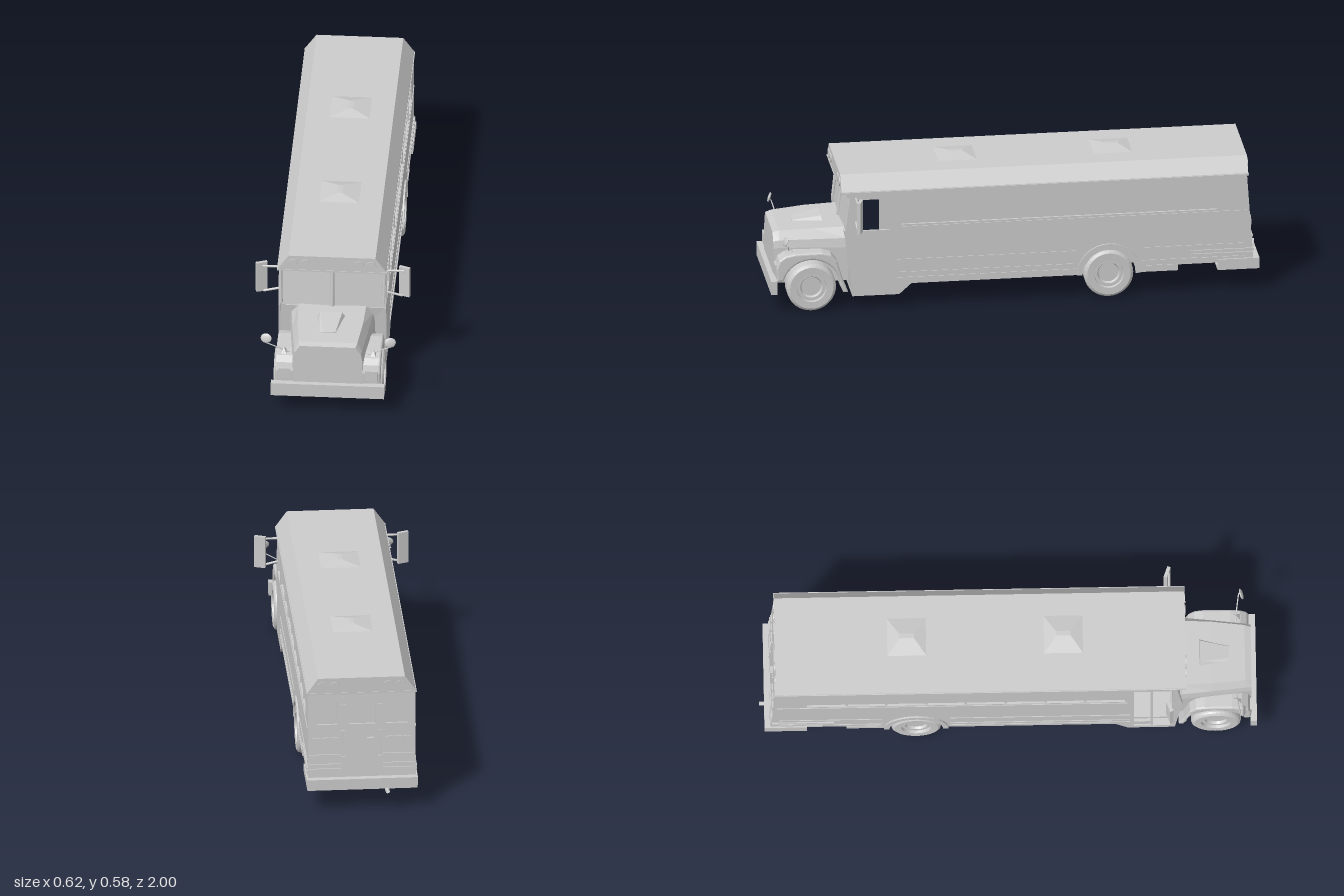
import * as THREE from 'three';

const mat = new THREE.MeshStandardMaterial({ color: 0xcccccc, side: THREE.DoubleSide });
const flat = new THREE.MeshStandardMaterial({ color: 0xcccccc, side: THREE.DoubleSide, flatShading: true });

function add(parent, name, geo, m = mat) {
  const mesh = new THREE.Mesh(geo, m);
  mesh.name = name;
  parent.add(mesh);
  return mesh;
}

// box given by its min and max on every axis
function box(parent, name, x0, x1, y0, y1, z0, z1) {
  const g = new THREE.BoxGeometry(Math.abs(x1 - x0), y1 - y0, z1 - z0);
  g.translate((x0 + x1) / 2, (y0 + y1) / 2, (z0 + z1) / 2);
  return add(parent, name, g);
}

// side outline of [z, y] points, extruded along x from x0 to x1
function sideGeo(pts, x0, x1, holes = [], bevel = 0) {
  const vec = (list) => list.map(([z, y]) => new THREE.Vector2(-z, y));
  const shape = new THREE.Shape(vec(pts));
  shape.holes = holes.map((h) => new THREE.Path(vec(h)));
  const g = new THREE.ExtrudeGeometry(shape, {
    depth: x1 - x0 - 2 * bevel, bevelEnabled: bevel > 0, bevelSize: bevel,
    bevelThickness: bevel, bevelOffset: -bevel, bevelSegments: 3,
  });
  return g.rotateY(Math.PI / 2).translate(x0 + bevel, 0, 0);
}

const rect = (a0, a1, b0, b1) => [[a0, b0], [a1, b0], [a1, b1], [a0, b1]];
const arc = (z, y, r, a0, a1, n = 16) => Array.from({ length: n + 1 }, (_, i) => {
  const a = a0 + (a1 - a0) * i / n;
  return [z + r * Math.cos(a), y + r * Math.sin(a)];
});

// skin over rows of points, with optional end caps
function loftGeo(rows, caps = false) {
  const v = [];
  const tri = (...p) => p.forEach((q) => v.push(...q));
  for (let i = 0; i + 1 < rows.length; i++) {
    for (let j = 0; j + 1 < rows[i].length; j++) {
      const a = rows[i][j], b = rows[i][j + 1], c = rows[i + 1][j + 1], d = rows[i + 1][j];
      tri(a, b, c, a, c, d);
    }
  }
  if (caps) {
    const first = rows[0], last = rows[rows.length - 1];
    for (let j = 1; j + 1 < first.length; j++) {
      tri(first[0], first[j + 1], first[j]);
      tri(last[0], last[j], last[j + 1]);
    }
  }
  const g = new THREE.BufferGeometry();
  g.setAttribute('position', new THREE.Float32BufferAttribute(v, 3));
  g.computeVertexNormals();
  return g;
}

function tube(parent, name, pts, r) {
  const path = new THREE.CurvePath();
  const p = pts.map((q) => new THREE.Vector3(...q));
  for (let i = 0; i + 1 < p.length; i++) path.add(new THREE.LineCurve3(p[i], p[i + 1]));
  add(parent, name, new THREE.TubeGeometry(path, 12, r, 8));
}

function wheel(parent, name, s, z) {
  const prof = [[0, 0.02], [0.04, 0.02], [0.045, 0.03], [0.058, 0.03], [0.06, 0.042], [0.088, 0.043],
    [0.097, 0.037], [0.1, 0.03], [0.1, -0.03], [0.097, -0.037], [0.088, -0.043], [0, -0.043]];
  const g = new THREE.LatheGeometry(prof.map(([r, y]) => new THREE.Vector2(r, y)).reverse(), 36);
  const m = add(parent, name, g.toNonIndexed());
  m.geometry.computeVertexNormals();
  m.rotation.z = -s * Math.PI / 2;
  m.position.set(s * 0.179, 0.1, z);
}

export function createModel() {
  const bus = new THREE.Group();
  bus.name = 'bus';

  // side walls with window band, wheel arch, and cab window or entry door
  const rearArch = arc(-0.37, 0.1, 0.112, 0, Math.PI);
  const outline = [[0.677, 0.5], [0.7, 0.32], [0.67, 0.055], [0.48, 0.055], [0.43, 0.1], ...rearArch,
    [-0.65, 0.1], [-0.65, 0.125], [-0.82, 0.125], [-0.955, 0.14], [-0.93, 0.5]];
  const band = rect(-0.81, 0.47, 0.355, 0.48);
  const cabWindow = rect(0.515, 0.645, 0.335, 0.468);
  const door = rect(0.505, 0.65, 0.075, 0.47);
  add(bus, 'leftWall', sideGeo(outline, 0.208, 0.217, [band, cabWindow]));
  add(bus, 'rightWall', sideGeo(outline, -0.217, -0.208, [band, door]));

  for (const s of [1, -1]) {
    const side = new THREE.Group();
    side.name = s > 0 ? 'leftSideTrim' : 'rightSideTrim';
    bus.add(side);
    box(side, 'windowGlass', s * 0.203, s * 0.208, 0.35, 0.485, -0.82, 0.48);
    for (let i = 1; i < 8; i++) {
      const z = -0.81 + 0.16 * i;
      box(side, 'windowDivider', s * 0.207, s * 0.214, 0.355, 0.48, z - 0.005, z + 0.005);
    }
    // rub rails
    for (const y of [0.122, 0.145, 0.2]) {
      for (const [a, b] of [[-0.92, -0.505], [-0.235, 0.49]]) {
        if (y < 0.13 && a < -0.6) box(side, 'rubRail', s * 0.216, s * 0.22, y, y + 0.006, -0.65, b);
        else box(side, 'rubRail', s * 0.216, s * 0.22, y, y + 0.006, a, b);
      }
    }
    for (const y of [0.16, 0.175]) box(side, 'rearCornerRail', s * 0.216, s * 0.222, y, y + 0.008, -0.95, -0.7);
    box(side, 'windowRail', s * 0.216, s * 0.22, 0.342, 0.347, -0.93, 0.48);
    // rear wheel arch flare and well
    const flare = [...arc(-0.37, 0.1, 0.13, 0, Math.PI), ...arc(-0.37, 0.1, 0.108, Math.PI, 0)];
    add(side, 'rearArchFlare', sideGeo(flare, s > 0 ? 0.212 : -0.224, s > 0 ? 0.224 : -0.212));
    box(side, 'wheelWell', s * 0.125, s * 0.21, 0.15, 0.22, -0.49, -0.25);
  }

  // floor, lowered cab base and rear underside
  box(bus, 'floor', -0.21, 0.21, 0.14, 0.155, -0.65, 0.67);
  add(bus, 'cabBase', sideGeo([[0.67, 0.055], [0.48, 0.055], [0.43, 0.1], [0.43, 0.14], [0.44, 0.14], [0.49, 0.07], [0.67, 0.07]], -0.21, 0.21));
  box(bus, 'rearUnderside', -0.21, 0.21, 0.125, 0.155, -0.945, -0.65);
  box(bus, 'entryStep', -0.21, -0.11, 0.07, 0.105, 0.5, 0.58);
  box(bus, 'stepWell', -0.115, -0.108, 0.07, 0.15, 0.49, 0.67);
  box(bus, 'doorPost', -0.215, -0.2, 0.075, 0.47, 0.572, 0.582);

  // front wall and angled windscreen
  const row = (y, z, bow) => [[-0.21, y, z], [0, y, z + bow], [0.21, y, z]];
  add(bus, 'frontWall', loftGeo([row(0.055, 0.668, 0), row(0.32, 0.695, 0.01)]), flat);
  add(bus, 'windscreen', loftGeo([row(0.32, 0.69, 0.01), row(0.48, 0.67, 0.01)]), flat);
  tube(bus, 'windscreenPost', [[0, 0.32, 0.7], [0, 0.49, 0.682]], 0.008);
  box(bus, 'windscreenHeader', -0.217, 0.217, 0.478, 0.5, 0.66, 0.69);
  for (const s of [1, -1]) tube(bus, 'cornerPost', [[s * 0.207, 0.33, 0.693], [s * 0.21, 0.48, 0.677]], 0.007);

  // roof with sloped sides, gutter and hatches
  const roof = new THREE.Shape([[-0.22, 0.498], [0.22, 0.498], [0.218, 0.505], [0.175, 0.566], [-0.175, 0.566], [-0.218, 0.505]]
    .map((p) => new THREE.Vector2(...p)));
  add(bus, 'roof', new THREE.ExtrudeGeometry(roof, { depth: 1.649, bevelEnabled: false }).translate(0, 0, -0.935));
  box(bus, 'gutter', -0.222, 0.222, 0.495, 0.502, -0.937, 0.716);
  for (const z of [0.225, -0.405]) {
    const ring = (w, d, y) => [[-w, y, z + d], [w, y, z + d], [w, y, z - d], [-w, y, z - d], [-w, y, z + d]];
    add(bus, 'roofHatch', loftGeo([ring(0.08, 0.078, 0.566), ring(0.01, 0.03, 0.58)], true), flat);
  }

  // warning lamps at both ends of the roof
  for (const z of [0.714, -0.935]) for (const x of [-0.158, -0.108, 0.108, 0.158]) {
    add(bus, 'warningLamp', new THREE.CylinderGeometry(0.02, 0.02, 0.008, 24).rotateX(Math.PI / 2)).position.set(x, 0.531, z);
  }

  // tilted rear wall with door, windows, lamps and rails
  const rear = new THREE.Group();
  rear.name = 'rearWall';
  rear.position.set(0, 0.13, -0.955);
  rear.rotation.x = 0.067;
  bus.add(rear);
  const wall = new THREE.Shape(rect(-0.215, 0.215, 0, 0.37).map((p) => new THREE.Vector2(...p)));
  const panes = [[-0.185, -0.098], [-0.055, 0.055], [0.098, 0.185]];
  wall.holes = panes.map(([a, b]) => new THREE.Path(rect(a, b, 0.235, 0.33).map((p) => new THREE.Vector2(...p))));
  add(rear, 'rearPanel', new THREE.ExtrudeGeometry(wall, { depth: 0.01, bevelEnabled: false }));
  box(rear, 'rearGlass', -0.2, 0.2, 0.225, 0.34, 0.01, 0.014);
  for (const s of [1, -1]) {
    box(rear, 'doorEdge', s * 0.074, s * 0.079, 0.015, 0.35, -0.004, 0.002);
    for (const y of [0.09, 0.2, 0.31]) box(rear, 'doorHinge', s * 0.066, s * 0.084, y, y + 0.01, -0.007, 0.002);
    for (const x of [0.095, 0.132, 0.169]) box(rear, 'tailLamp', s * x, s * (x + 0.03), 0.145, 0.18, -0.006, 0.002);
    for (const y of [0.04, 0.06, 0.1]) box(rear, 'rearRail', s * 0.085, s * 0.215, y, y + 0.008, -0.006, 0.002);
  }
  box(rear, 'doorHandle', -0.05, -0.02, 0.17, 0.178, -0.012, 0.002);

  // bumpers and exhaust
  box(bus, 'frontBumper', -0.228, 0.228, 0.081, 0.138, 0.974, 1);
  box(bus, 'rearBumper', -0.224, 0.224, 0.105, 0.14, -0.98, -0.945);
  box(bus, 'rearBumperPlate', -0.222, 0.222, 0.094, 0.105, -0.98, -0.81);
  for (const s of [1, -1]) box(bus, 'rearBumperEnd', s * 0.212, s * 0.224, 0.105, 0.14, -0.95, -0.81);
  tube(bus, 'exhaustPipe', [[-0.1, 0.09, -0.7], [-0.1, 0.09, -1]], 0.009);

  // tapered hood
  const hoodRing = (z, w, b, y0, y1, t, y2) => [[w, b, z], [w, y0, z], [w - 0.006, y1, z], [t, y2, z],
    [-t, y2, z], [-w + 0.006, y1, z], [-w, y0, z], [-w, b, z], [w, b, z]];
  add(bus, 'hood', loftGeo([hoodRing(0.68, 0.172, 0.11, 0.25, 0.288, 0.137, 0.327),
    hoodRing(0.82, 0.158, 0.1, 0.25, 0.284, 0.132, 0.323), hoodRing(0.955, 0.143, 0.1, 0.25, 0.28, 0.118, 0.315),
    hoodRing(0.98, 0.14, 0.1, 0.245, 0.275, 0.112, 0.308)], true), flat);
  add(bus, 'hoodScoop', loftGeo([[[0.06, 0.318, 0.77], [0.045, 0.343, 0.775], [-0.045, 0.343, 0.775], [-0.06, 0.318, 0.77]],
    [[0.04, 0.315, 0.89], [0.025, 0.322, 0.89], [-0.025, 0.322, 0.89], [-0.04, 0.315, 0.89]]], true), flat);

  const fender = [[0.975, 0.13], [0.977, 0.185], [0.965, 0.218], [0.94, 0.236], [0.9, 0.244], [0.79, 0.246], [0.755, 0.236],
    [0.73, 0.205], [0.705, 0.12], [0.685, 0.07], [0.705, 0.07], ...arc(0.835, 0.1, 0.116, Math.PI, 0.25)];
  for (const s of [1, -1]) {
    const f = new THREE.Group();
    f.name = s > 0 ? 'leftFrontCorner' : 'rightFrontCorner';
    bus.add(f);
    add(f, 'fender', sideGeo(fender, s > 0 ? 0.13 : -0.212, s > 0 ? 0.212 : -0.13, [], 0.008));
    box(f, 'headlight', s * 0.15, s * 0.2, 0.15, 0.198, 0.97, 0.981);
    const marker = new THREE.ConeGeometry(0.016, 0.022, 4).rotateY(Math.PI / 4).scale(1, 1, 1.6);
    add(f, 'turnSignal', marker, flat).position.set(s * 0.18, 0.252, 0.92);
    // round crossover mirror on a wire arm
    tube(f, 'roundMirrorArm', [[s * 0.155, 0.24, 0.92], [s * 0.2, 0.262, 0.925], [s * 0.265, 0.295, 0.935], [s * 0.25, 0.31, 0.943]], 0.0025);
    const disc = add(f, 'roundMirror', new THREE.SphereGeometry(1, 20, 12).scale(0.023, 0.02, 0.006));
    disc.position.set(s * 0.25, 0.317, 0.945);
    disc.rotation.set(-0.3, s * 0.2, 0);
    // tall side mirror
    tube(f, 'mirrorArm', [[s * 0.21, 0.475, 0.655], [s * 0.285, 0.475, 0.655]], 0.005);
    tube(f, 'mirrorArm', [[s * 0.21, 0.375, 0.655], [s * 0.28, 0.358, 0.655]], 0.005);
    const mirror = add(f, 'sideMirror', new THREE.BoxGeometry(0.046, 0.135, 0.014));
    mirror.position.set(s * 0.288, 0.422, 0.648);
    mirror.rotation.y = -s * 0.35;
    wheel(f, 'frontWheel', s, 0.835);
    wheel(f, 'rearWheel', s, -0.37);
  }
  for (const z of [0.835, -0.37]) {
    add(bus, 'axle', new THREE.CylinderGeometry(0.015, 0.015, 0.3, 12).rotateZ(Math.PI / 2)).position.set(0, 0.1, z);
  }
  return bus;
}
